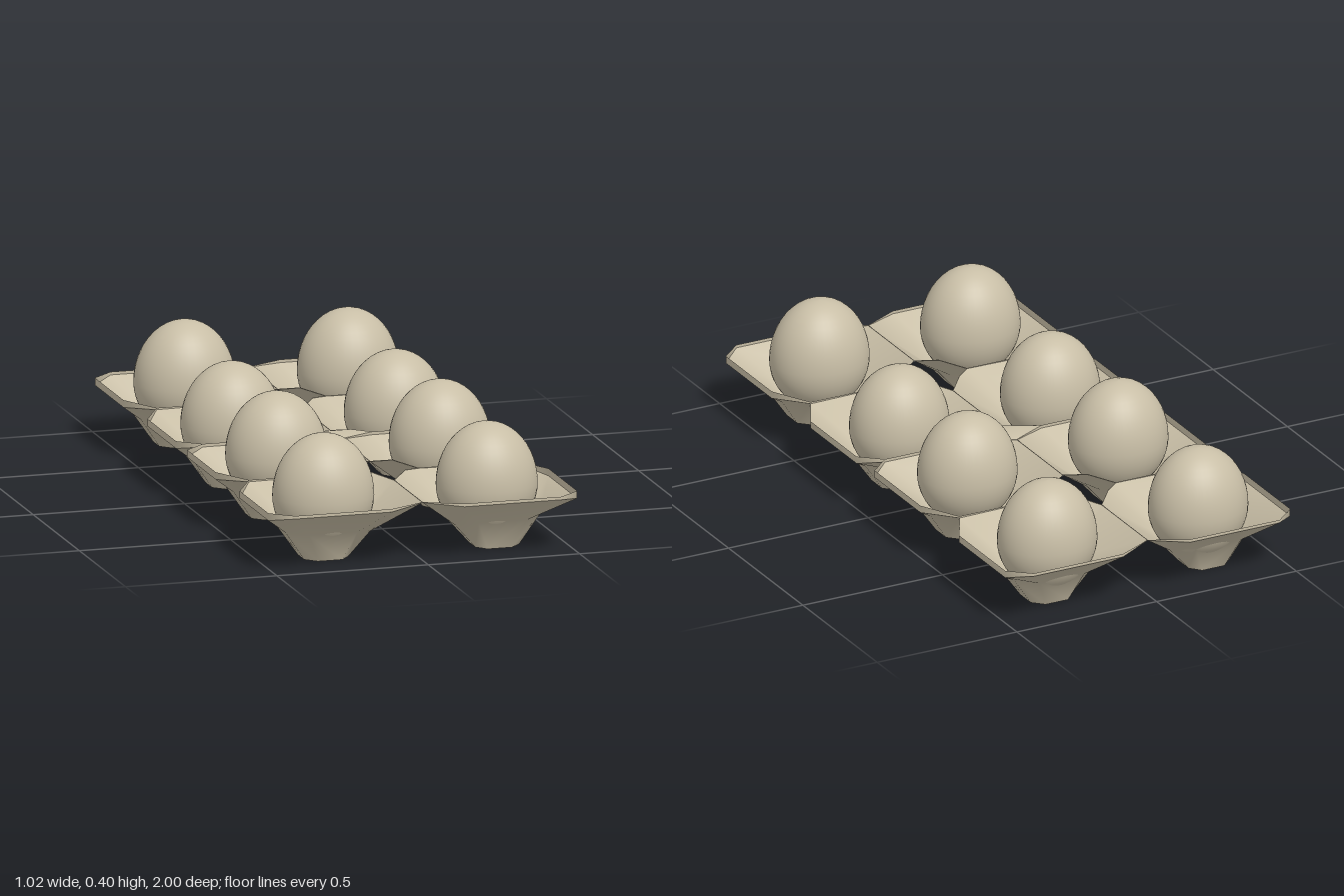
import * as THREE from 'three';

const card = new THREE.MeshStandardMaterial({ color: 0xc8bea6, side: THREE.DoubleSide });
card.name = 'pale card';

// Cross-sections of one cup (outer +x, front +z), as [x, z] round the loop
const RIM = [[0.12, 0.5], [0.44, 0.5], [0.51, 0.63], [0.51, 0.94], [0.44, 1], [0.12, 1], [0, 0.94], [0, 0.63], [0.055, 0.57]];
const WAIST = [[0.2, 0.66], [0.36, 0.66], [0.42, 0.73], [0.42, 0.83], [0.36, 0.89], [0.2, 0.89], [0.14, 0.83], [0.14, 0.73], [0.165, 0.69]];
const FOOT = [[0.24, 0.715], [0.32, 0.715], [0.355, 0.75], [0.355, 0.82], [0.32, 0.855], [0.24, 0.855], [0.21, 0.82], [0.21, 0.75], [0.222, 0.73]];
// Rim heights, and how far the lip hangs down at each corner
const RIM_Y = [0.19, 0.19, 0.19, 0.19, 0.19, 0.19, 0.19, 0.19, 0.205];
const LIP = [0.002, 0.006, 0.024, 0.024, 0.01, 0.01, 0.002, 0.002, 0.002];

function surface(positions, index) {
  const g = new THREE.BufferGeometry();
  g.setAttribute('position', new THREE.Float32BufferAttribute(positions, 3));
  g.setIndex(index);
  g.computeVertexNormals();
  return g;
}

// Wall between two loops of points
function band(upper, lower, flip) {
  const n = upper.length, index = [];
  for (let i = 0; i < n; i++) {
    const j = (i + 1) % n;
    const quad = [i, j, n + j, i, n + j, n + i];
    index.push(...(flip ? quad.reverse() : quad));
  }
  return surface([...upper, ...lower].flat(), index);
}

function addMesh(group, name, geometry) {
  const mesh = new THREE.Mesh(geometry, card);
  mesh.name = name;
  group.add(mesh);
  return mesh;
}

// place(x, z) mirrors the loop into one of the eight cells
function makeCup(place, flip) {
  const cup = new THREE.Group();
  cup.name = 'cup';
  const loop = (points, height) => points.map(([x, z], i) => {
    const [px, pz] = place(x, z);
    return [px, height(i), pz];
  });
  const top = loop(RIM, i => RIM_Y[i]);
  const lip = loop(RIM, i => RIM_Y[i] - LIP[i]);
  const waist = loop(WAIST, i => (i > 5 || i === 0 ? 0.08 : 0.095));
  const foot = loop(FOOT, () => 0);
  addMesh(cup, 'rimLip', band(top, lip, flip));

  // Both wall tiers share the waist points so the card bends softly
  const n = RIM.length, index = [];
  for (let r = 0; r < 2; r++) {
    for (let i = 0; i < n; i++) {
      const j = (i + 1) % n, a = r * n;
      const quad = [a + i, a + j, a + n + j, a + i, a + n + j, a + n + i];
      index.push(...(flip ? quad.reverse() : quad));
    }
  }
  addMesh(cup, 'cupWall', surface([...lip, ...waist, ...foot].flat(), index));

  // Flat foot
  const fan = [];
  for (let i = 1; i < n - 1; i++) fan.push(...(flip ? [0, i + 1, i] : [0, i, i + 1]));
  addMesh(cup, 'cupFoot', surface(foot.flat(), fan));
  return cup;
}

// Egg: fuller above, a little shorter below, and oval in plan
function eggGeometry() {
  const profile = [];
  for (let i = 0; i <= 24; i++) {
    const a = -Math.PI / 2 + Math.PI * i / 24;
    const y = Math.sin(a) * (a > 0 ? 0.2 : 0.165);
    profile.push(new THREE.Vector2(i % 24 ? 0.163 * Math.cos(a) : 0, y));
  }
  const g = new THREE.LatheGeometry(profile, 40);
  g.scale(1, 1, 0.885);
  return g;
}

export function createModel() {
  const model = new THREE.Group();
  model.name = 'eggTray';
  const egg = eggGeometry();
  const rowZ = [0.78, 0.205, -0.215, -0.79];

  for (const side of [-1, 1]) {
    rowZ.forEach((z, row) => {
      const end = row < 2 ? 1 : -1;
      const inner = row === 1 || row === 2;
      const place = (x, pz) => [side * x, end * (inner ? 1 - pz : pz)];
      model.add(makeCup(place, side * end * (inner ? -1 : 1) < 0));
      // Alternate rows sit slightly to one side
      addMesh(model, 'egg', egg).position.set(side * 0.27 + (row % 2 ? 0.01 : -0.01), 0.197, z);
    });
  }

  // Diamond web closing the gap at the middle of the tray
  addMesh(model, 'middleWeb', surface(
    [-0.12, 0.19, 0, 0, 0.19, 0.06, 0.12, 0.19, 0, 0, 0.19, -0.06, -0.05, 0.203, 0, 0.05, 0.203, 0],
    [0, 1, 4, 4, 1, 5, 1, 2, 5, 5, 2, 3, 4, 5, 3, 0, 4, 3]));
  return model;
}
